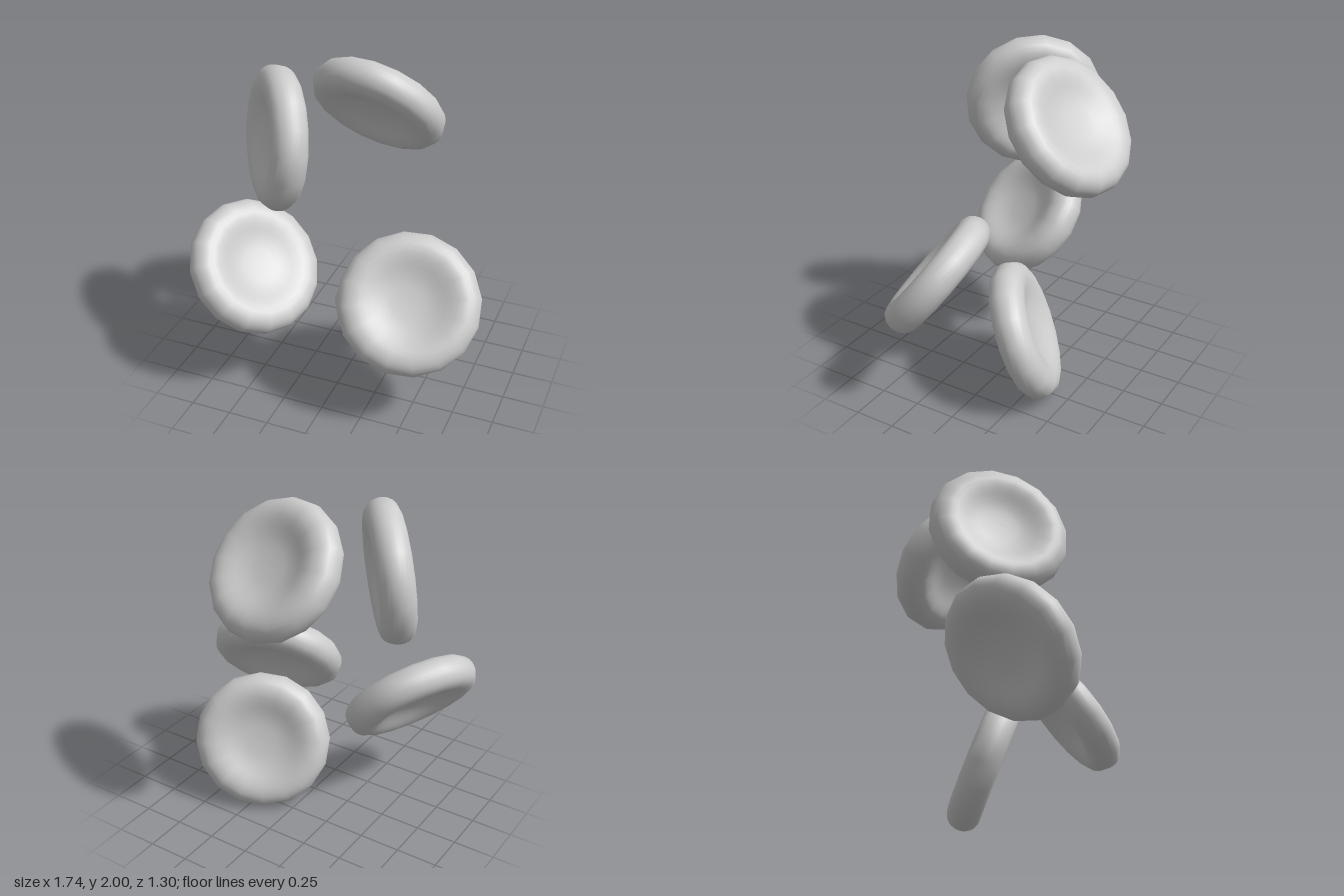
import * as THREE from 'three';

// Half profile of a cell (radius, height): dimple centre, thick ring, outer rim
const HALF = [[0, 0.042], [0.1, 0.046], [0.18, 0.064], [0.25, 0.09], [0.315, 0.103], [0.375, 0.087], [0.41, 0.046], [0.42, 0]];

// Centre and facing direction of every cell
const CELLS = [
  { name: 'upperLeftCell', at: [-0.415, 1.575, 0.13], facing: [-0.79, 0.12, 0.62] },
  { name: 'upperBackCell', at: [0.03, 1.655, -0.35], facing: [0.13, 0.63, -0.77] },
  { name: 'lowerLeftCell', at: [-0.535, 0.745, 0.245], facing: [0.68, 0.65, 0.34] },
  { name: 'lowerRightCell', at: [0.46, 0.74, 0.275], facing: [0.21, 0.62, 0.75] },
  { name: 'bottomCell', at: [0.25, 0.4, -0.205], facing: [0.42, -0.35, 0.83] },
];

// Biconcave disc: the half profile mirrored below and spun around its axis
function cellGeometry() {
  const below = HALF.map(([r, h]) => new THREE.Vector2(r, -h));
  const above = HALF.slice(0, -1).reverse().map(([r, h]) => new THREE.Vector2(r, h));
  const profile = new THREE.SplineCurve([...below, ...above]).getPoints(28);
  profile.forEach((p) => { p.x = Math.max(p.x, 0); });
  return new THREE.LatheGeometry(profile, 16);
}

export function createModel() {
  const group = new THREE.Group();
  group.name = 'bloodCells';
  const geometry = cellGeometry();
  const material = new THREE.MeshStandardMaterial({ color: 0xcccccc });
  const up = new THREE.Vector3(0, 1, 0);

  for (const { name, at, facing } of CELLS) {
    const cell = new THREE.Mesh(geometry, material);
    cell.name = name;
    cell.position.set(...at);
    cell.quaternion.setFromUnitVectors(up, new THREE.Vector3(...facing).normalize());
    group.add(cell);
  }
  return group;
}
